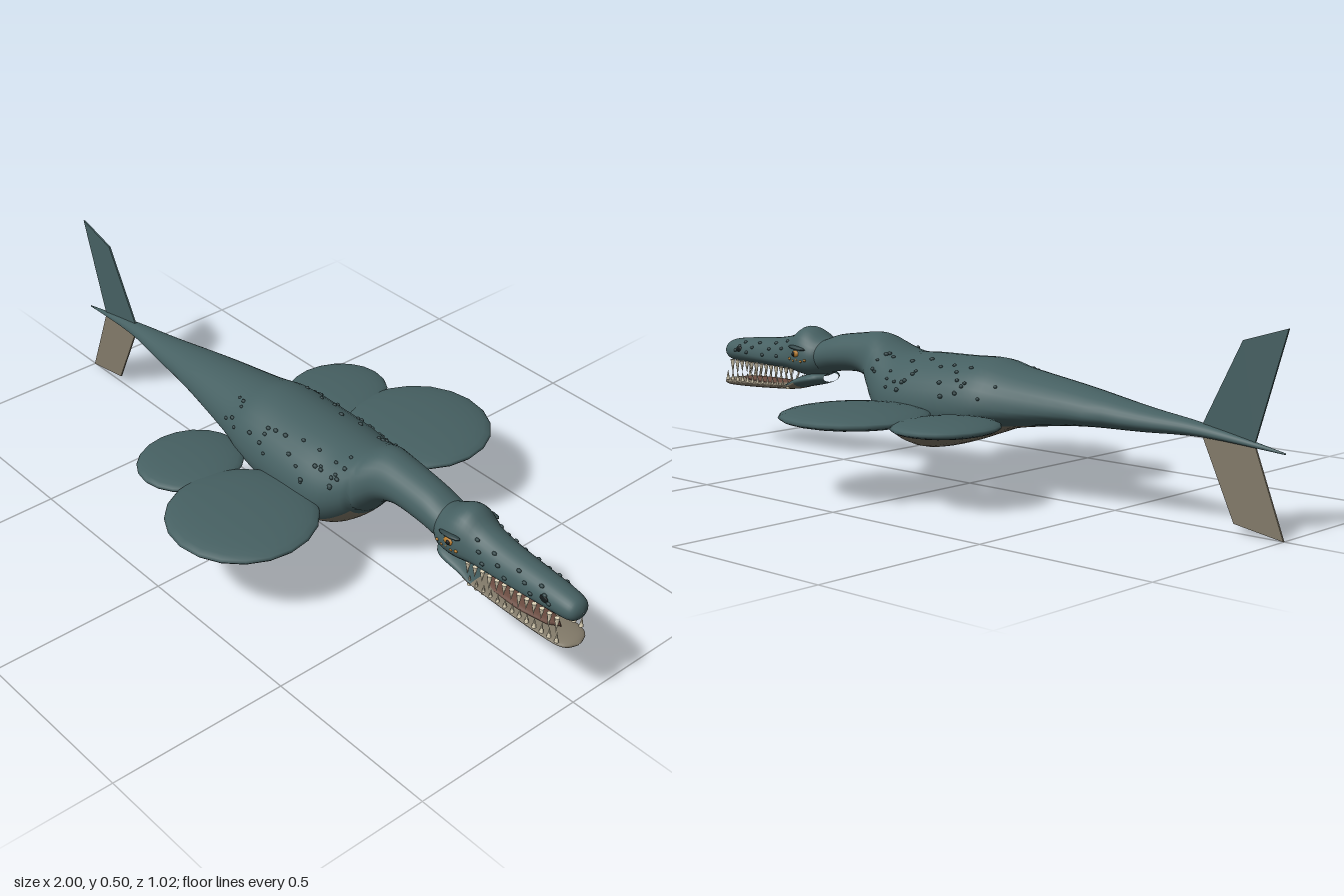
import * as THREE from 'three';

const mat = (name, color, side = THREE.FrontSide) => {
  const m = new THREE.MeshStandardMaterial({ color, side });
  m.name = name;
  return m;
};

// Smooth value of column k of a station table at fractional index t
function sample(table, t, k) {
  const i = Math.min(Math.floor(t), table.length - 2), f = t - i;
  const at = (n) => table[Math.max(0, Math.min(table.length - 1, n))][k];
  const [a, b, c, d] = [at(i - 1), at(i), at(i + 1), at(i + 2)];
  return b + 0.5 * f * (c - a + f * (2 * a - 5 * b + 4 * c - d + f * (3 * (b - c) + d - a)));
}

// Point on a section; angle 0 is the underside, PI/2 the +z flank
function sectionPoint(table, t, angle) {
  const [x, top, bottom, w, mid] = [0, 1, 2, 3, 4].map((k) => sample(table, t, k));
  const c = -Math.cos(angle);
  const half = Math.max(c > 0 ? top - mid : mid - bottom, 0.0005);
  return new THREE.Vector3(x, mid + c * half, Math.sin(angle) * Math.max(w, 0.0005));
}

// Skin a station table; the underside strip of half-angle under(x) gets material 1 where positive
function loft(table, under = () => 0, steps = 4) {
  const strip = 10, rest = 26, cols = strip + rest;
  const rings = (table.length - 1) * steps;
  const pos = [], main = [], belly = [];
  for (let i = 0; i <= rings; i++) {
    const t = i / steps;
    const b = under(sample(table, t, 0)) || 0.5;
    for (let j = 0; j < cols; j++) {
      const a = j < strip ? -b + (2 * b * j) / strip : b + ((2 * Math.PI - 2 * b) * (j - strip)) / rest;
      pos.push(...sectionPoint(table, t, a).toArray());
    }
  }
  for (let i = 0; i < rings; i++) {
    const painted = under(sample(table, (i + 0.5) / steps, 0)) > 0;
    for (let j = 0; j < cols; j++) {
      const k = (j + 1) % cols, p = i * cols, q = p + cols;
      (painted && j < strip ? belly : main).push(p + j, q + j, p + k, q + j, q + k, p + k);
    }
  }
  const g = new THREE.BufferGeometry();
  g.setAttribute('position', new THREE.Float32BufferAttribute(pos, 3));
  g.setIndex([...main, ...belly]);
  g.addGroup(0, main.length, 0);
  g.addGroup(main.length, belly.length, 1);
  g.computeVertexNormals();
  return g;
}

// Stations: x, top, bottom, half width, height of widest point
const BODY = [
  [-1, 0.212, 0.208, 0.001, 0.21], [-0.77, 0.255, 0.222, 0.023, 0.235],
  [-0.6, 0.277, 0.215, 0.05, 0.24], [-0.4, 0.309, 0.207, 0.085, 0.245],
  [-0.2, 0.337, 0.18, 0.122, 0.235], [-0.11, 0.354, 0.153, 0.145, 0.228],
  [0, 0.351, 0.115, 0.156, 0.222], [0.12, 0.349, 0.089, 0.158, 0.215],
  [0.2, 0.346, 0.104, 0.148, 0.22], [0.26, 0.361, 0.147, 0.123, 0.245],
  [0.31, 0.382, 0.205, 0.094, 0.28], [0.35, 0.387, 0.246, 0.073, 0.31],
  [0.41, 0.38, 0.267, 0.064, 0.32], [0.5, 0.367, 0.262, 0.06, 0.31],
  [0.56, 0.348, 0.25, 0.058, 0.3], [0.62, 0.335, 0.25, 0.05, 0.29],
];
const SKULL = [
  [0.54, 0.345, 0.255, 0.04, 0.3], [0.57, 0.355, 0.24, 0.066, 0.295],
  [0.61, 0.377, 0.236, 0.074, 0.295], [0.645, 0.379, 0.24, 0.071, 0.29],
  [0.69, 0.353, 0.246, 0.06, 0.285], [0.76, 0.338, 0.248, 0.054, 0.28],
  [0.86, 0.329, 0.25, 0.047, 0.28], [0.93, 0.322, 0.25, 0.042, 0.283],
  [0.975, 0.314, 0.252, 0.036, 0.283], [0.993, 0.302, 0.262, 0.024, 0.282],
  [1, 0.284, 0.28, 0.001, 0.282],
];
const JAW = [
  [0.55, 0.25, 0.225, 0.03, 0.238], [0.58, 0.254, 0.215, 0.058, 0.235],
  [0.65, 0.235, 0.2, 0.058, 0.22], [0.69, 0.212, 0.191, 0.056, 0.205],
  [0.8, 0.204, 0.183, 0.054, 0.197], [0.92, 0.199, 0.177, 0.05, 0.192],
  [0.98, 0.198, 0.177, 0.04, 0.19], [1, 0.19, 0.186, 0.003, 0.188],
];

export function createModel() {
  const root = new THREE.Group();
  root.name = 'seaReptile';
  const skin = mat('skin', 0x466062), belly = mat('belly', 0x827a69);
  const scute = mat('scute', 0x314547), dark = mat('dark', 0x141a1b);
  const amber = mat('amber', 0xb47a2c), ivory = mat('ivory', 0xe4d9bd);
  const upperFin = mat('finSkin', 0x466062, THREE.DoubleSide);
  const lowerFin = mat('finBelly', 0x827a69, THREE.DoubleSide);
  const gum = mat('gum', 0x6a4b40);

  const add = (name, geometry, material, x = 0, y = 0, z = 0) => {
    const m = new THREE.Mesh(geometry, material);
    m.name = name;
    m.position.set(x, y, z);
    root.add(m);
    return m;
  };
  const ball = new THREE.SphereGeometry(1, 10, 8);
  const blob = (name, material, p, sx, sy, sz) => {
    const m = add(name, ball, material, ...p);
    m.scale.set(sx, sy, sz);
    return m;
  };

  // Body with a pale underside that narrows towards the tail
  const bellyAngle = (x) => (x > 0.29 || x < -0.5 ? 0 : 0.15 + 0.8 * Math.min(1, (x + 0.5) / 0.5));
  add('body', loft(BODY, bellyAngle), [skin, belly]);
  add('skull', loft(SKULL), skin);

  // Lower jaw: dark hinge, pale front
  add('jawHinge', loft(JAW.slice(0, 4)), skin);
  add('lowerJaw', loft(JAW.slice(2)), belly);
  blob('tongue', gum, [0.79, 0.203, 0], 0.15, 0.009, 0.034);

  // Tail flukes
  const fin = (name, pts, material) => {
    const shape = new THREE.Shape(pts.map((p) => new THREE.Vector2(...p)));
    add(name, new THREE.ExtrudeGeometry(shape, { depth: 0.005, bevelEnabled: false }), material, 0, 0, -0.0025);
  };
  fin('upperFluke', [[-0.915, 0.225], [-0.76, 0.245], [-0.875, 0.465], [-1, 0.502]].reverse(), upperFin);
  fin('lowerFluke', [[-0.915, 0.22], [-0.76, 0.235], [-0.86, 0.025], [-1, 0.003]], lowerFin);

  // Paddle flippers
  const paddle = new THREE.SphereGeometry(1, 20, 14);
  for (const s of [1, -1]) {
    const front = add('frontFlipper', paddle, skin, 0.12, 0.212, 0.31 * s);
    front.scale.set(0.2, 0.026, 0.2);
    const rear = add('rearFlipper', paddle, skin, -0.162, 0.208, 0.26 * s);
    rear.scale.set(0.135, 0.022, 0.15);
  }

  // Scattered scutes over the back
  let seed = 7;
  const rand = () => (seed = (seed * 16807) % 2147483647) / 2147483647;
  for (let i = 0; i < 60; i++) {
    const t = 4.1 + rand() * 5.2;
    const a = Math.PI + (i % 2 ? 1 : -1) * (0.4 + rand() * 0.9);
    const r = 0.004 + rand() * 0.002;
    blob('backScute', scute, sectionPoint(BODY, t, a).toArray(), r * 1.3, r, r);
  }

  // Head details, mirrored
  for (const s of [1, -1]) {
    blob('eye', amber, [0.622, 0.306, 0.069 * s], 0.016, 0.011, 0.009);
    blob('pupil', dark, [0.626, 0.306, 0.076 * s], 0.006, 0.007, 0.004);
    const brow = blob('brow', scute, [0.622, 0.323, 0.067 * s], 0.036, 0.006, 0.011);
    brow.rotation.z = 0.1;
    blob('nostril', dark, [0.912, 0.292, 0.041 * s], 0.014, 0.01, 0.004);
    for (let i = 0; i < 5; i++) {
      blob('cheekFleck', amber, [0.585 + i * 0.016, 0.29 - 0.004 * (i % 2), 0.07 * s], 0.005, 0.004, 0.005);
    }
    // Bumps along the snout
    for (let i = 0; i < 12; i++) {
      const p = sectionPoint(SKULL, 4 + i * 0.27, Math.PI - s * (0.75 + 0.35 * (i % 3)));
      blob('snoutBump', scute, p.toArray(), 0.007, 0.005, 0.005);
    }
    // Teeth: upper row points down, lower row up, fangs at the front
    for (let i = 0; i < 13; i++) {
      const x = 0.67 + i * 0.0235, f = i / 12;
      const len = i % 4 === 3 || i === 12 ? 0.046 : 0.034;
      const upper = add('upperTooth', new THREE.ConeGeometry(0.007, len, 6), ivory, x, 0.257 - len / 2, s * (0.047 - 0.013 * f));
      upper.rotation.x = Math.PI;
      add('lowerTooth', new THREE.ConeGeometry(0.006, 0.03, 6), ivory, x + 0.012, 0.211, s * (0.05 - 0.007 * f));
    }
  }
  return root;
}
